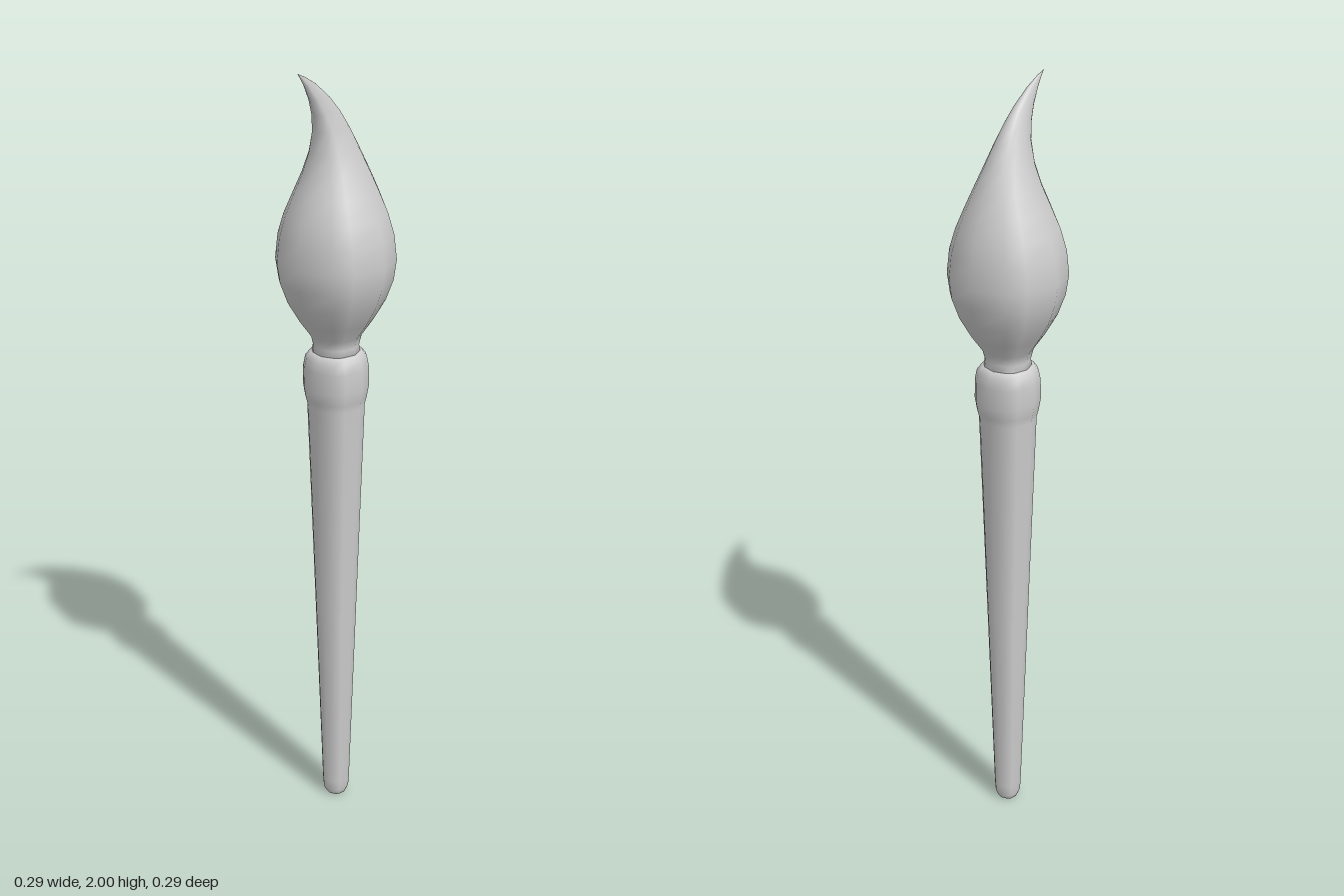
import * as THREE from 'three';

// Twelve slightly uneven corners per cross-section
const ANGLES = [0, 35, 55, 90, 125, 145, 180, 215, 235, 270, 305, 325].map(THREE.MathUtils.degToRad);

// Skin a stack of oval rings [y, left x, right x, half depth], closed at both ends
function loft(rings) {
  const n = ANGLES.length, pos = [], index = [];
  for (const [y, left, right, depth] of rings) {
    const cx = (left + right) / 2, rx = (right - left) / 2;
    for (const a of ANGLES) pos.push(cx + rx * Math.cos(a), y, depth * Math.sin(a));
  }
  for (let r = 0; r < rings.length - 1; r++) {
    for (let i = 0; i < n; i++) {
      const j = (i + 1) % n, a = r * n + i, b = r * n + j;
      index.push(a, a + n, b, b, a + n, b + n);
    }
  }
  const top = (rings.length - 1) * n;
  for (let i = 1; i < n - 1; i++) {
    index.push(0, i, i + 1, top, top + i + 1, top + i);
  }
  const geo = new THREE.BufferGeometry();
  geo.setAttribute('position', new THREE.Float32BufferAttribute(pos, 3));
  geo.setIndex(index);
  geo.computeVertexNormals();
  return geo;
}

const round = (y, r) => [y, -r, r, r];

export function createModel() {
  const group = new THREE.Group();
  const material = new THREE.MeshStandardMaterial({ color: 0xcccccc });
  const add = (name, rings) => {
    const mesh = new THREE.Mesh(loft(rings), material);
    mesh.name = name;
    group.add(mesh);
  };

  // Tapered handle with a rounded foot and a swollen collar
  add('handle', [
    round(0, 0.02), round(0.005, 0.028), round(0.02, 0.034), round(0.05, 0.036),
    round(0.6, 0.053), round(1.18, 0.071), round(1.2, 0.076), round(1.23, 0.081),
    round(1.28, 0.08), round(1.305, 0.075), round(1.318, 0.065), round(1.32, 0.052),
  ]);

  // Full belly of hair, swept to a curled tip on the right
  add('bristles', [
    round(1.29, 0.062), round(1.335, 0.056), round(1.36, 0.062),
    round(1.4, 0.09), round(1.45, 0.119), round(1.5, 0.137),
    [1.55, -0.144, 0.143, 0.144],
    [1.61, -0.138, 0.137, 0.137],
    [1.66, -0.127, 0.126, 0.12],
    [1.71, -0.108, 0.108, 0.097],
    [1.76, -0.087, 0.086, 0.074],
    [1.81, -0.073, 0.061, 0.053],
    [1.86, -0.07, 0.033, 0.036],
    [1.9, -0.078, 0.005, 0.025],
    [1.935, -0.092, -0.027, 0.016],
    [1.97, -0.112, -0.072, 0.008],
    [1.99, -0.126, -0.108, 0.003],
    [2, -0.134, -0.132, 0.001],
  ]);

  return group;
}
